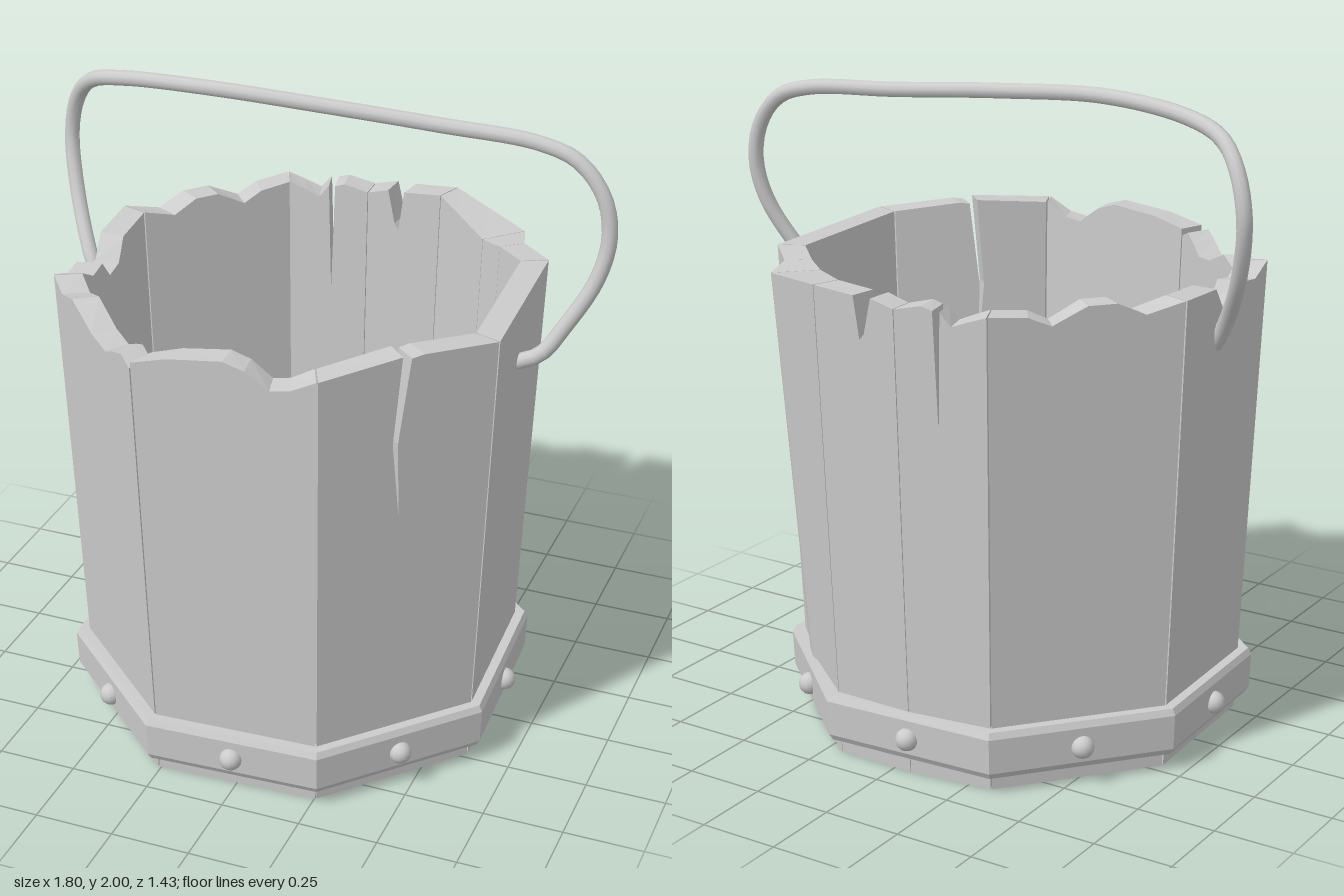
import * as THREE from 'three';

const CX = -0.03; // bucket axis
const TOP = 1.46;
const WALL = 0.885; // inner wall relative to outer wall

// Rim corners, left to right as seen from outside: x, z, optional outward bulge
const corners = [
  [-0.28, 0.70], [0.28, 0.675], [0.67, 0.25], [0.64, -0.33], [0.53, -0.44], [0.45, -0.5, 0.07],
  [0.22, -0.71], [-0.06, -0.715], [-0.35, -0.68], [-0.73, -0.23], [-0.71, 0.31],
];
const mainCorners = [0, 1, 2, 3, 6, 8, 9, 10].map((i) => corners[i]);

// Broken top edge of each stave: position across, height (thin dips are cracks)
const topEdges = [
  [[0, 1.43], [0.2, 1.46], [0.5, 1.48], [0.62, 1.46], [0.75, 1.41], [0.86, 1.42], [1, 1.46]],
  [[0, 1.46], [0.46, 1.48], [0.42, 1.2], [0.47, 0.95], [0.45, 1.2], [0.51, 1.47], [0.58, 1.475], [1, 1.46]],
  [[0, 1.46], [1, 1.46]],
  [[0, 1.46], [1, 1.45]],
  [[0, 1.45], [1, 1.44]],
  [[0, 1.44], [0.5, 1.46], [1, 1.48]],
  [[0, 1.48], [0.5, 1.47], [0.56, 1.34], [0.62, 1.36], [0.72, 1.47], [1, 1.45]],
  [[0, 1.45], [0.3, 1.47], [0.42, 1.46], [0.46, 1.1], [0.5, 1.46], [0.62, 1.42], [0.8, 1.44], [1, 1.46]],
  [[0, 1.46], [0.2, 1.45], [0.32, 1.42], [0.5, 1.47], [0.65, 1.47], [0.8, 1.43], [1, 1.46]],
  [[0, 1.46], [0.35, 1.45], [0.45, 1.38], [0.6, 1.37], [0.7, 1.43], [0.85, 1.42], [1, 1.46]],
  [[0, 1.46], [0.1, 1.42], [0.25, 1.44], [0.5, 1.39], [0.68, 1.38], [0.8, 1.41], [0.9, 1.43], [1, 1.41]],
];

const taper = (y) => 0.915 + 0.085 * (y / TOP);

// Corner position at height y, scaled about the bucket axis
function cornerAt([x, z, bulge = 0], y, scale, outer = 0) {
  const s = taper(y) * scale;
  const b = bulge * outer * (0.25 + 0.75 * y / TOP);
  const r = Math.hypot(x - CX, z);
  return new THREE.Vector3(CX + (x - CX) * (s + b / r), y, z * (s + b / r));
}

// Flat board with a ragged top, bent onto the tapered wall
function staveGeometry(a, b, edge) {
  const points = [[0, 0], [1, 0], ...[...edge].reverse()];
  const shape = new THREE.Shape(points.map(([u, y]) => new THREE.Vector2(u, y)));
  const geo = new THREE.ExtrudeGeometry(shape, { depth: 1, bevelEnabled: false });
  const pos = geo.attributes.position;
  for (let i = 0; i < pos.count; i++) {
    const u = 0.005 + 0.99 * pos.getX(i);
    const y = pos.getY(i);
    const t = pos.getZ(i);
    const scale = WALL + (1 - WALL) * t;
    const p = cornerAt(a, y, scale, t).lerp(cornerAt(b, y, scale, t), u);
    pos.setXYZ(i, p.x, p.y, p.z);
  }
  geo.computeVertexNormals();
  return geo;
}

// Faceted hoop: a chamfered section carried round the main corners
function hoopGeometry() {
  const section = [[0.98, 0.05], [1.045, 0.05], [1.062, 0.07], [1.062, 0.18], [1.045, 0.2], [0.98, 0.2]];
  const verts = [];
  const n = mainCorners.length;
  for (let i = 0; i < n; i++) {
    for (let j = 0; j < section.length; j++) {
      const [s0, y0] = section[j];
      const [s1, y1] = section[(j + 1) % section.length];
      const c = mainCorners[i], d = mainCorners[(i + 1) % n];
      const p = cornerAt(c, y0, s0), q = cornerAt(d, y0, s0);
      const r = cornerAt(d, y1, s1), s = cornerAt(c, y1, s1);
      for (const v of [p, q, r, p, r, s]) verts.push(v.x, v.y, v.z);
    }
  }
  const geo = new THREE.BufferGeometry();
  geo.setAttribute('position', new THREE.Float32BufferAttribute(verts, 3));
  geo.computeVertexNormals();
  return geo;
}

export function createModel() {
  const group = new THREE.Group();
  const flat = new THREE.MeshStandardMaterial({ color: 0xcccccc, flatShading: true });
  const smooth = new THREE.MeshStandardMaterial({ color: 0xcccccc });
  const add = (name, geo, mat) => {
    const mesh = new THREE.Mesh(geo, mat);
    mesh.name = name;
    group.add(mesh);
    return mesh;
  };

  // Wooden staves
  corners.forEach((c, i) => {
    add('stave', staveGeometry(c, corners[(i + 1) % corners.length], topEdges[i]), flat);
  });

  // Floor board
  const floorShape = new THREE.Shape(mainCorners.map((c) => {
    const p = cornerAt(c, 0, 0.9);
    return new THREE.Vector2(p.x, -p.z);
  }));
  const floor = new THREE.ExtrudeGeometry(floorShape, { depth: 0.05, bevelEnabled: false });
  floor.rotateX(-Math.PI / 2).translate(0, 0.012, 0);
  add('floor', floor, flat);

  // Hoop with a rivet on each face
  add('hoop', hoopGeometry(), flat);
  const rivet = new THREE.SphereGeometry(0.035, 14, 10);
  mainCorners.forEach((c, i) => {
    const d = mainCorners[(i + 1) % mainCorners.length];
    const mid = cornerAt(c, 0.12, 1.065).lerp(cornerAt(d, 0.12, 1.065), 0.5);
    add('rivet', rivet, smooth).position.copy(mid);
  });

  // Bent wire handle
  const path = [
    [-0.7, 1.27, 0], [-0.75, 1.35, -0.03], [-0.84, 1.52, -0.13], [-0.88, 1.7, -0.185], [-0.85, 1.83, -0.175],
    [-0.78, 1.91, -0.135], [-0.65, 1.95, -0.09], [-0.35, 1.975, -0.05], [0, 1.96, -0.075], [0.35, 1.935, -0.115],
    [0.65, 1.915, -0.135], [0.77, 1.875, -0.135], [0.85, 1.78, -0.13], [0.875, 1.66, -0.125],
    [0.85, 1.53, -0.105], [0.77, 1.38, -0.06], [0.71, 1.295, -0.03], [0.63, 1.26, -0.015],
  ].map((p) => new THREE.Vector3(...p));
  add('handle', new THREE.TubeGeometry(new THREE.CatmullRomCurve3(path), 90, 0.024, 10), smooth);

  return group;
}
